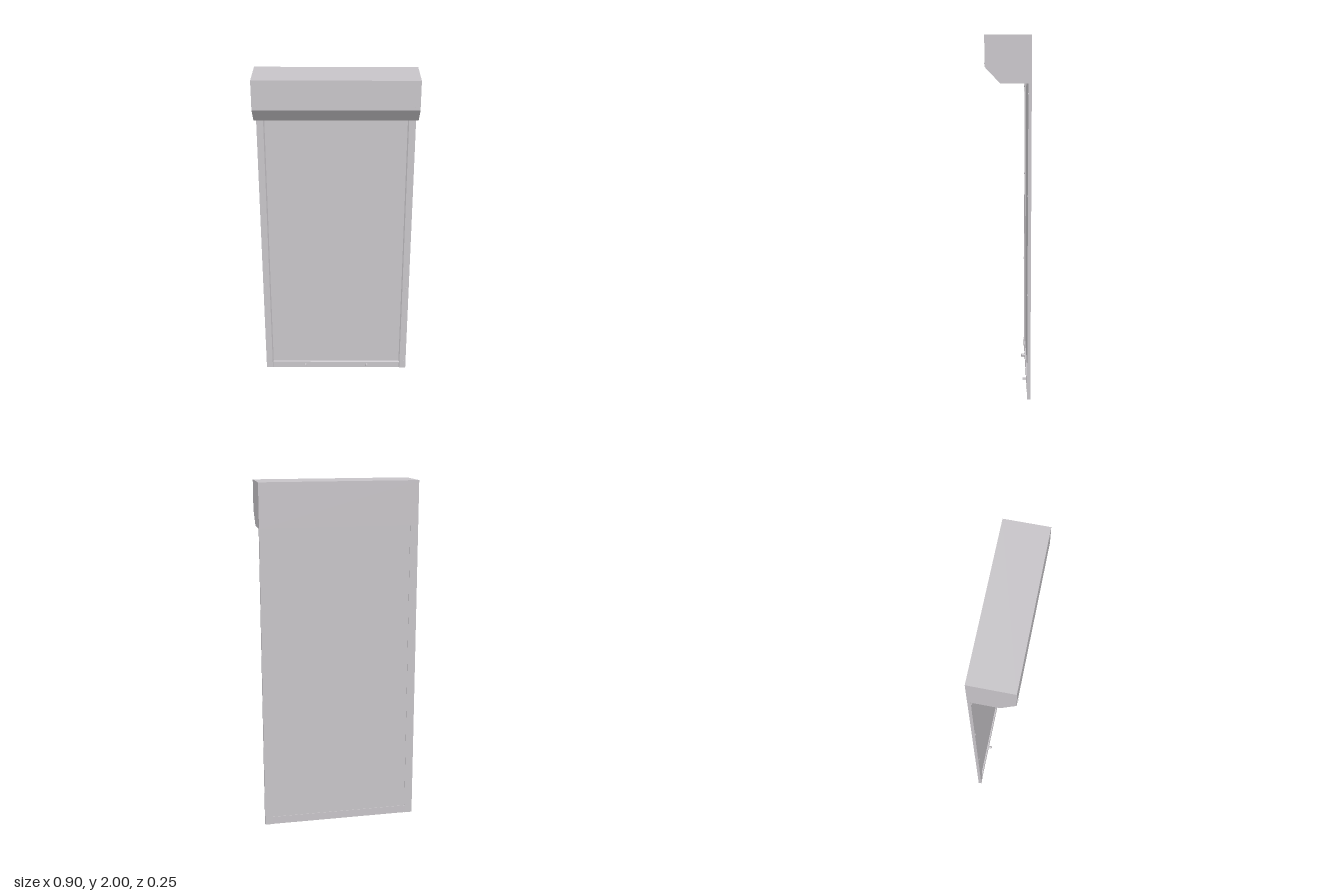
import * as THREE from 'three';

export function createModel() {
  const model = new THREE.Group();
  const steel = new THREE.MeshStandardMaterial({ color: 0xc7c4c8 });
  steel.name = 'light grey steel';

  const add = (name, geometry, x = 0, y = 0, z = 0) => {
    const mesh = new THREE.Mesh(geometry, steel);
    mesh.name = name;
    mesh.position.set(x, y, z);
    model.add(mesh);
    return mesh;
  };
  const extrude = (points, depth) => new THREE.ExtrudeGeometry(
    new THREE.Shape(points.map(([a, b]) => new THREE.Vector2(a, b))),
    { depth, bevelEnabled: false });
  // Extrusion along x of a profile given in (z, y)
  const beam = (name, points, halfWidth) => {
    const g = extrude(points.map(([z, y]) => [-z, y]), 2 * halfWidth);
    g.rotateY(Math.PI / 2);
    return add(name, g, -halfWidth);
  };
  // Round fastener pointing forward, starting at z
  const stud = (name, r, length, x, y, z) => {
    const g = new THREE.CylinderGeometry(r, r, length, 16);
    g.rotateX(Math.PI / 2);
    return add(name, g, x, y, z + length / 2);
  };

  const W = 0.45, BACK = -0.125, FACE = -0.107, INNER = 0.411, LIP = 0.404;
  const HOUSING_BOTTOM = 1.75, HOUSING_FRONT = 0.123;

  // Roller housing with a chamfered lower front edge
  beam('rollerHousing', [
    [BACK, HOUSING_BOTTOM], [0.041, HOUSING_BOTTOM], [HOUSING_FRONT, 1.836],
    [HOUSING_FRONT, 2], [BACK, 2],
  ], W);

  // Curtain, recessed from both faces of the frame
  add('curtain', new THREE.BoxGeometry(2 * INNER, 1.73, 0.006), 0, 0.895, -0.119);

  // Bottom bar with a sloped upper lip and two round stops
  beam('bottomBar', [
    [BACK, 0.001], [FACE - 0.001, 0.001], [FACE - 0.001, 0.042], [-0.117, 0.046], [BACK, 0.046],
  ], LIP + 0.003);
  for (const x of [-0.197, 0.197]) {
    stud('stop', 0.008, 0.022, x, 0.025, FACE - 0.001);
  }

  for (const s of [-1, 1]) {
    // Side guide rail with a sloped inner lip
    const rail = extrude([
      [s * W, -BACK], [s * W, -FACE], [s * INNER, -FACE], [s * LIP, 0.117], [s * LIP, -BACK],
    ], HOUSING_BOTTOM);
    rail.rotateX(-Math.PI / 2);
    add('guideRail', rail);

    // Rail and housing screws
    for (const y of [0.048, 0.598, 1.148, 1.694]) {
      stud('railScrew', 0.006, 0.003, s * 0.437, y, FACE);
    }
    stud('housingScrew', 0.004, 0.003, s * 0.424, 1.853, HOUSING_FRONT);
  }
  return model;
}
